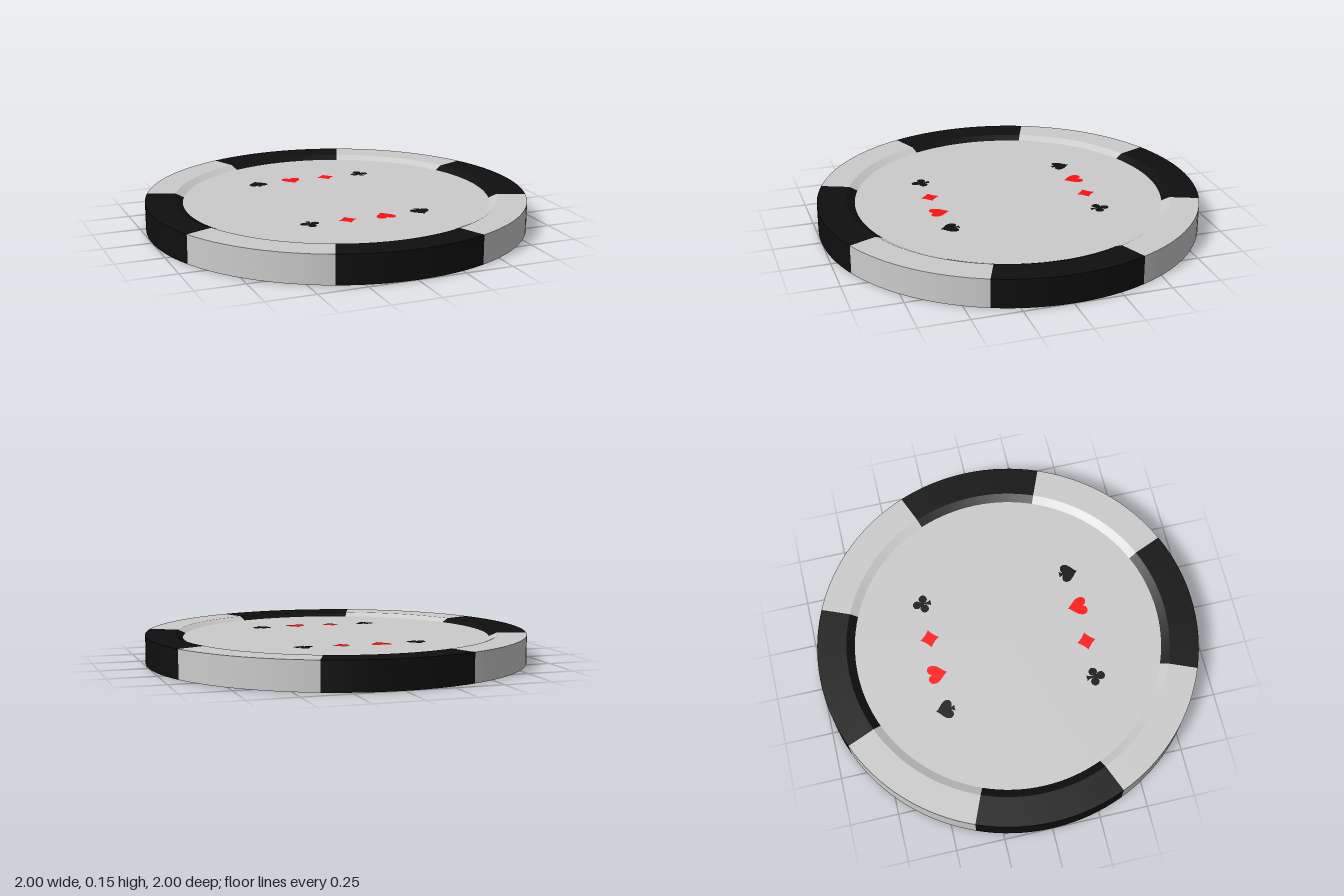
import * as THREE from 'three';
import { toCreasedNormals } from 'three/addons/utils/BufferGeometryUtils.js';

const HEIGHT = 0.15, RECESS = 0.02, FLOOR_R = 0.805, LIP_R = 0.847;
const grey = new THREE.MeshStandardMaterial({ color: 0xcccccc });
const black = new THREE.MeshStandardMaterial({ color: 0x0f0f0f });
const red = new THREE.MeshStandardMaterial({ color: 0xff1010 });

function disc(x, y, r) {
  const s = new THREE.Shape();
  s.absarc(x, y, r, 0, Math.PI * 2);
  return s;
}

// flared foot shared by spade and club
function stem() {
  const s = new THREE.Shape();
  s.moveTo(-0.016, -0.048);
  s.lineTo(0.016, -0.048);
  s.quadraticCurveTo(0.004, -0.035, 0.004, 0);
  s.lineTo(-0.004, 0);
  s.quadraticCurveTo(-0.004, -0.035, -0.016, -0.048);
  return s;
}

// heart outline; flip = -1 turns it over for the spade
function heartShape() {
  const s = new THREE.Shape();
  s.moveTo(0, -0.05);
  s.bezierCurveTo(0.012, -0.027, 0.05, -0.008, 0.05, 0.024);
  s.bezierCurveTo(0.05, 0.058, 0.006, 0.06, 0, 0.028);
  s.bezierCurveTo(-0.006, 0.06, -0.05, 0.058, -0.05, 0.024);
  s.bezierCurveTo(-0.05, -0.008, -0.012, -0.027, 0, -0.05);
  return s;
}

function spadeShape() {
  const s = new THREE.Shape();
  s.moveTo(0, 0.05);
  s.bezierCurveTo(-0.012, 0.028, -0.05, 0.014, -0.05, -0.014);
  s.bezierCurveTo(-0.05, -0.042, -0.012, -0.044, 0, -0.02);
  s.bezierCurveTo(0.012, -0.044, 0.05, -0.042, 0.05, -0.014);
  s.bezierCurveTo(0.05, 0.014, 0.012, 0.028, 0, 0.05);
  return s;
}

// four points with slightly hollow sides
function diamondShape() {
  const s = new THREE.Shape(), r = 0.049, c = 0.019;
  s.moveTo(0, r);
  s.quadraticCurveTo(-c, c, -r, 0);
  s.quadraticCurveTo(-c, -c, 0, -r);
  s.quadraticCurveTo(c, -c, r, 0);
  s.quadraticCurveTo(c, c, 0, r);
  return s;
}

const SUITS = [
  ['spade', black, [spadeShape(), stem()]],
  ['heart', red, [heartShape()]],
  ['diamond', red, [diamondShape()]],
  ['club', black, [disc(0, 0.026, 0.022), disc(-0.027, -0.01, 0.022),
    disc(0.027, -0.01, 0.022), disc(0, 0, 0.012), stem()]],
];

// recessed floor with two opposing rows of suit pips
function createFace(name) {
  const face = new THREE.Group();
  face.name = name;
  const floor = new THREE.Mesh(new THREE.CircleGeometry(FLOOR_R, 128).rotateX(-Math.PI / 2), grey);
  floor.name = 'floor';
  face.add(floor);
  for (const turn of [0, Math.PI]) {
    const row = new THREE.Group();
    row.name = 'pipRow';
    row.rotation.y = turn;
    SUITS.forEach(([suit, material, shapes], i) => {
      const pip = new THREE.Mesh(new THREE.ShapeGeometry(shapes, 10).rotateX(-Math.PI / 2), material);
      pip.name = suit;
      pip.position.set(-0.3 + i * 0.2, 0.002, -0.4);
      row.add(pip);
    });
    face.add(row);
  }
  return face;
}

export function createModel() {
  const chip = new THREE.Group();
  chip.name = 'gamingChip';

  // rim: eight alternating sectors with bevelled inner lips
  const profile = [
    [FLOOR_R, RECESS], [LIP_R, 0], [1, 0],
    [1, HEIGHT], [LIP_R, HEIGHT], [FLOOR_R, HEIGHT - RECESS],
  ].map(([r, y]) => new THREE.Vector2(r, y));
  const step = Math.PI / 4;
  for (let i = 0; i < 8; i++) {
    const geometry = new THREE.LatheGeometry(profile, 16, (i - 0.5) * step, step);
    const sector = new THREE.Mesh(toCreasedNormals(geometry, 0.25), i % 2 ? grey : black);
    sector.name = i % 2 ? 'lightRimSector' : 'darkRimSector';
    chip.add(sector);
  }

  // both faces, the lower one turned over
  const top = createFace('topFace');
  top.position.y = HEIGHT - RECESS;
  const bottom = createFace('bottomFace');
  bottom.position.y = RECESS;
  bottom.rotation.z = Math.PI;
  chip.add(top, bottom);
  return chip;
}
